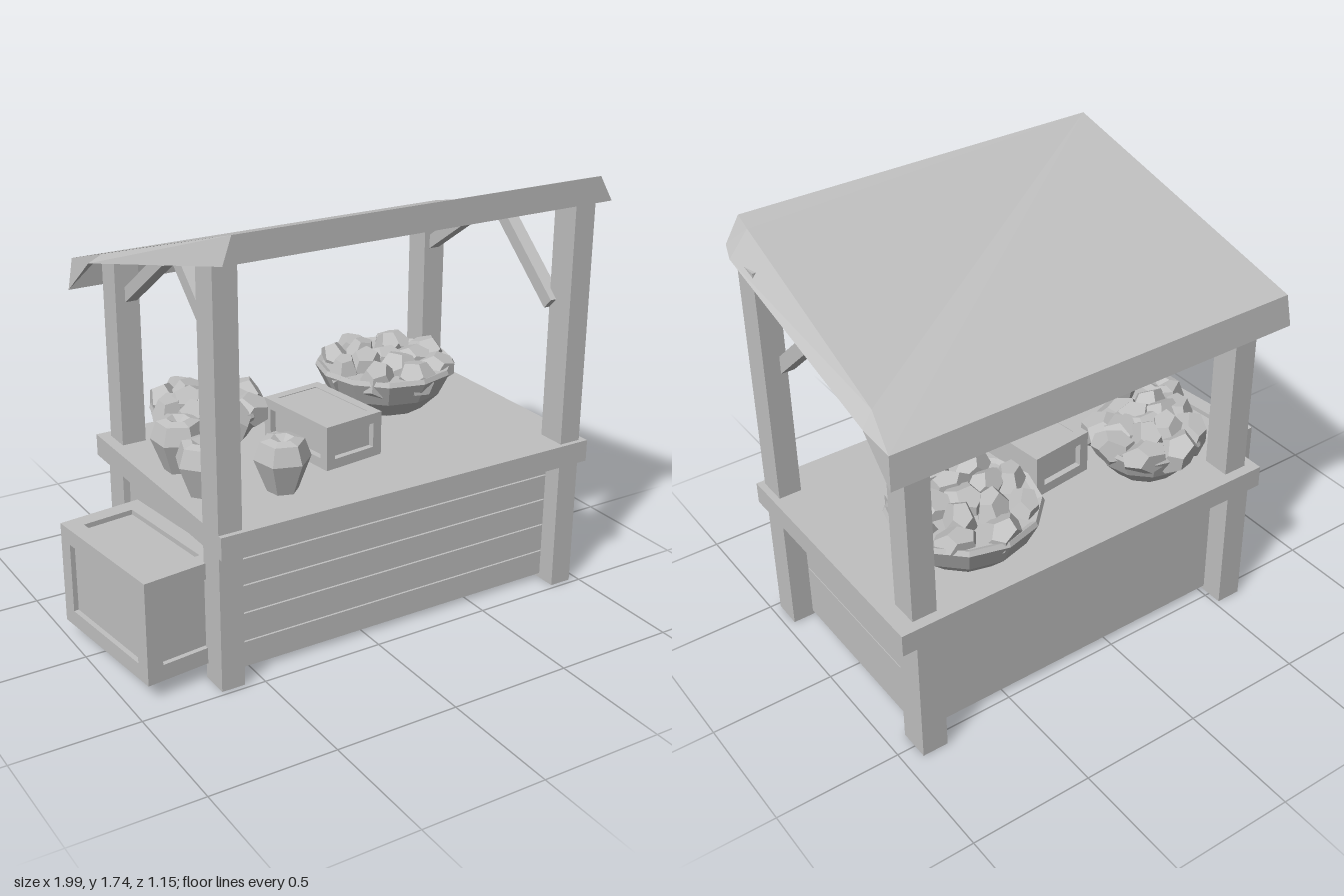
import * as THREE from 'three';

const grey = new THREE.MeshStandardMaterial({ color: 0xc0c0c0, flatShading: true });
grey.name = 'plain grey';
const greyCloth = new THREE.MeshStandardMaterial({ color: 0xc0c0c0, flatShading: true, side: THREE.DoubleSide });
greyCloth.name = 'plain grey two-sided';

function add(parent, name, geometry, x = 0, y = 0, z = 0, material = grey) {
  const mesh = new THREE.Mesh(geometry, material);
  mesh.name = name;
  mesh.position.set(x, y, z);
  parent.add(mesh);
  return mesh;
}

// Box given by its minimum and maximum on each axis
function span(parent, name, x0, x1, y0, y1, z0, z1) {
  return add(parent, name, new THREE.BoxGeometry(x1 - x0, y1 - y0, z1 - z0),
    (x0 + x1) / 2, (y0 + y1) / 2, (z0 + z1) / 2);
}

// Square timber between two points
function beam(parent, name, from, to, size) {
  const a = new THREE.Vector3(...from), b = new THREE.Vector3(...to);
  const mesh = add(parent, name, new THREE.BoxGeometry(size, size, a.distanceTo(b)));
  mesh.position.copy(a).add(b).multiplyScalar(0.5);
  mesh.lookAt(b);
  return mesh;
}

// Crate: a core with raised edge rails; stands on y = 0
function crate(name, w, h, d, rail, recess) {
  const group = new THREE.Group();
  group.name = name;
  add(group, 'cratePanels', new THREE.BoxGeometry(w - 2 * recess, h - 2 * recess, d - 2 * recess), 0, h / 2, 0);
  const p = rail / 2;
  for (const s of [-1, 1]) for (const t of [-1, 1]) {
    const x = s * (w / 2 - p), z = t * (d / 2 - p), y = h / 2 + t * (h / 2 - p);
    add(group, 'crateCorner', new THREE.BoxGeometry(rail, h, rail), x, h / 2, z);
    add(group, 'crateLongRail', new THREE.BoxGeometry(rail, rail, d - 2 * rail), x, y, 0);
    add(group, 'crateShortRail', new THREE.BoxGeometry(w - 2 * rail, rail, rail), 0, h / 2 + s * (h / 2 - p), z);
  }
  return group;
}

// Bowl heaped with large faceted fruit
function fruitBowl(name, r, h, fruitSize) {
  const group = new THREE.Group();
  group.name = name;
  const profile = [[0, 0], [r * 0.58, 0], [r * 0.84, h * 0.4], [r, h * 0.9], [r * 0.97, h], [r * 0.9, h * 0.95], [0, h * 0.9]]
    .map(([x, y]) => new THREE.Vector2(x, y));
  add(group, 'bowl', new THREE.LatheGeometry(profile, 12));
  const rings = [[1, 0, 0], [5, 0.4, -0.005], [8, 0.72, -0.02]];
  for (const [count, reach, lift] of rings) for (let i = 0; i < count; i++) {
    const angle = (i / count) * Math.PI * 2 + reach;
    const fruit = add(group, 'fruit', new THREE.DodecahedronGeometry(fruitSize),
      Math.cos(angle) * reach * r, h + lift, Math.sin(angle) * reach * r);
    fruit.scale.y = 0.7;
    fruit.rotation.set(i * 0.4, i * 0.7 + reach, i * 0.3);
  }
  return group;
}

// Sloping cover with a skirt: pairs of upper and lower rim points
function roofGeometry() {
  const upper = [[-0.645, 1.74, 0.575], [0.895, 1.74, 0.575], [0.9, 1.717, 0.5], [0.93, 1.44, -0.37],
    [0.985, 1.39, -0.56], [-0.735, 1.39, -0.56], [-0.66, 1.425, -0.44]];
  const lower = [[-0.68, 1.64, 0.575], [0.955, 1.64, 0.575], [0.98, 1.62, 0.5], [0.985, 1.4, -0.4],
    [0.995, 1.26, -0.575], [-0.75, 1.26, -0.575], [-0.71, 1.39, -0.46]];
  const points = [];
  const n = upper.length;
  for (let i = 0; i < n; i++) {
    const j = (i + 1) % n;
    points.push(lower[i], lower[j], upper[j], lower[i], upper[j], upper[i]);
    if (i > 0 && i < n - 1) points.push(upper[0], upper[i], upper[i + 1]);
  }
  const geometry = new THREE.BufferGeometry();
  geometry.setAttribute('position', new THREE.Float32BufferAttribute(points.flat(), 3));
  geometry.computeVertexNormals();
  return geometry;
}

export function createModel() {
  const stall = new THREE.Group();
  stall.name = 'marketStall';

  // Posts; the back ones step in above the counter
  span(stall, 'frontRightPost', -0.67, -0.575, 0, 1.62, 0.36, 0.48);
  span(stall, 'frontLeftPost', 0.87, 0.963, 0, 1.62, 0.36, 0.48);
  for (const x of [-0.625, 0.82]) {
    span(stall, 'backLeg', x, x + 0.105, 0, 0.6, -0.56, -0.43);
    span(stall, 'backPost', x, x + 0.1, 0.6, 1.395, -0.53, -0.415);
  }

  // Counter and its boarded base, set back between the posts
  span(stall, 'counterTop', -0.67, 0.99, 0.545, 0.635, -0.573, 0.5);
  span(stall, 'baseCore', -0.585, 0.865, 0.02, 0.55, -0.45, 0.38);
  const seams = [0.02, 0.13, 0.25, 0.365, 0.475, 0.55];
  for (let i = 0; i < seams.length - 1; i++) {
    span(stall, 'frontBoard', -0.6, 0.885, seams[i], seams[i + 1] - 0.006, 0.37, 0.4);
  }
  for (const [y0, y1] of [[0.02, 0.247], [0.253, 0.55]]) {
    span(stall, 'rightSideBoard', -0.597, -0.57, y0, y1, -0.45, 0.38);
    span(stall, 'leftSideBoard', 0.85, 0.877, y0, y1, -0.45, 0.38);
  }
  span(stall, 'backPanel', -0.58, 0.86, 0.02, 0.55, -0.465, -0.44);

  // Roof and its diagonal braces
  add(stall, 'roof', roofGeometry(), 0, 0, 0, greyCloth);
  for (const x of [-0.56, 0.87]) {
    beam(stall, 'frontBrace', [x, 1.2, 0.38], [x, 1.51, 0.04], 0.055);
    beam(stall, 'backBrace', [x, 1.24, -0.44], [x, 1.48, -0.09], 0.05);
  }

  // Crates; the one on the counter is lidded
  const sideCrate = crate('sideCrate', 0.34, 0.415, 0.6, 0.065, 0.02);
  sideCrate.position.set(-0.79, 0.065, 0.085);
  sideCrate.rotation.y = 0.11;
  const counterCrate = crate('counterCrate', 0.27, 0.18, 0.4, 0.04, 0.025);
  add(counterCrate, 'crateLid', new THREE.BoxGeometry(0.23, 0.03, 0.36), 0, 0.162, 0);
  counterCrate.position.set(0.05, 0.635, 0);
  counterCrate.rotation.y = 0.12;
  stall.add(sideCrate, counterCrate);

  // Fruit bowls
  const largeBowl = fruitBowl('largeBowl', 0.295, 0.19, 0.088);
  largeBowl.position.set(0.53, 0.635, -0.275);
  const smallBowl = fruitBowl('smallBowl', 0.225, 0.165, 0.1);
  smallBowl.position.set(-0.32, 0.635, -0.28);
  stall.add(largeBowl, smallBowl);

  // Tapered six-sided jars
  const jar = new THREE.LatheGeometry([[0, 0], [0.06, 0], [0.11, 0.13], [0.085, 0.2], [0.045, 0.21], [0, 0.185]]
    .map(([x, y]) => new THREE.Vector2(x, y)), 6);
  [[-0.285, 0.265, 0.2], [-0.55, 0.14, 0.7], [-0.53, -0.1, 1.1]].forEach(([x, z, turn]) => {
    add(stall, 'jar', jar, x, 0.635, z).rotation.y = turn;
  });

  return stall;
}
